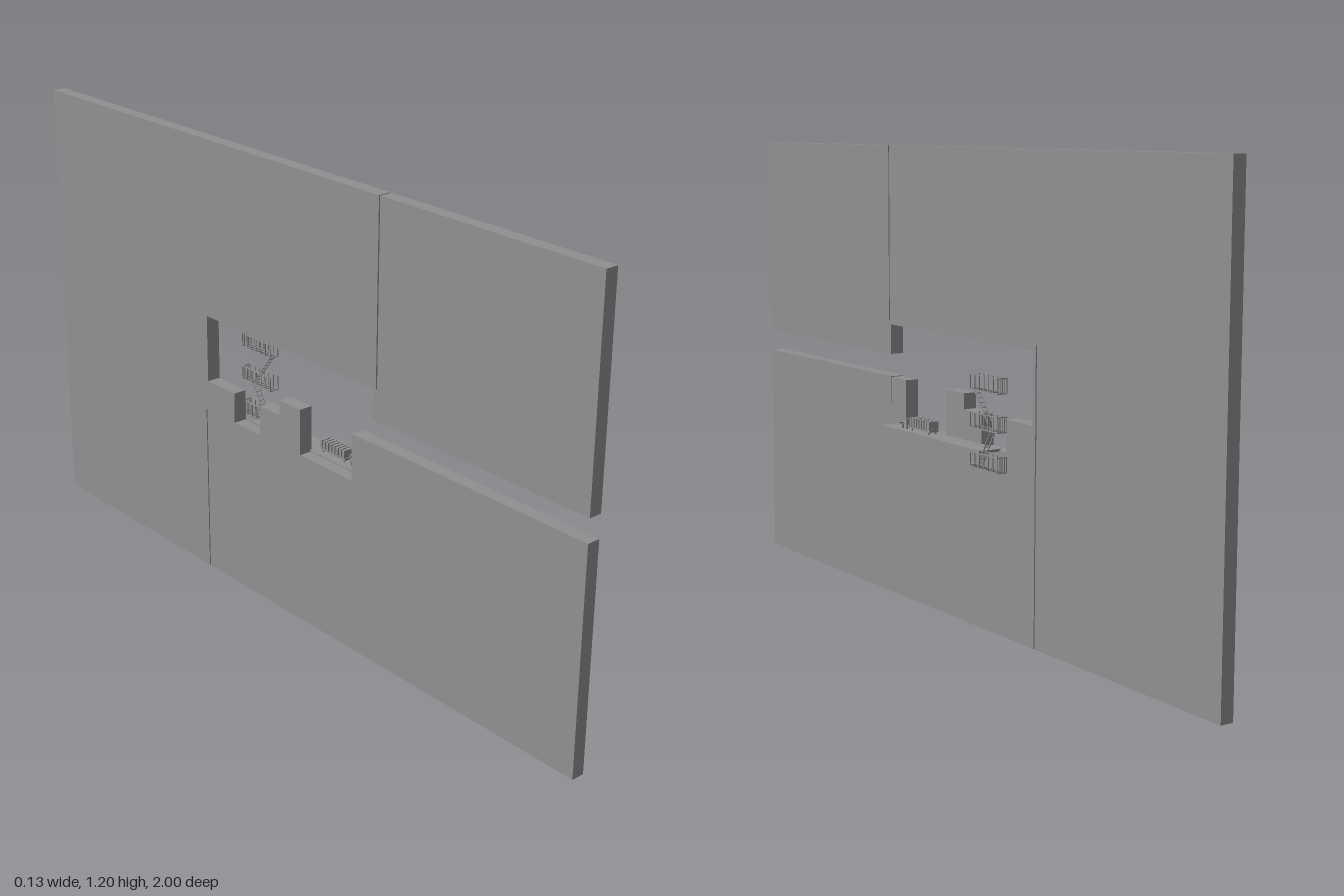
import * as THREE from 'three';

export function createModel() {
  const root = new THREE.Group();
  const grey = new THREE.MeshStandardMaterial({ color: 0x909090 });
  const X0 = -0.063, X1 = -0.028; // wall back and face

  // box from its limits along x, y and z
  function box(parent, name, x0, x1, y0, y1, z0, z1) {
    const mesh = new THREE.Mesh(new THREE.BoxGeometry(x1 - x0, y1 - y0, z1 - z0), grey);
    mesh.position.set((x0 + x1) / 2, (y0 + y1) / 2, (z0 + z1) / 2);
    mesh.name = name;
    parent.add(mesh);
    return mesh;
  }
  function group(name) {
    const g = new THREE.Group();
    g.name = name;
    root.add(g);
    return g;
  }
  // thin square bar between two points
  function bar(parent, name, a, b, t = 0.0024) {
    const from = new THREE.Vector3(...a), to = new THREE.Vector3(...b);
    const mesh = new THREE.Mesh(new THREE.BoxGeometry(t, t, from.distanceTo(to)), grey);
    mesh.position.copy(from).add(to).multiplyScalar(0.5);
    mesh.lookAt(to);
    mesh.name = name;
    parent.add(mesh);
  }

  // wall panels around the window and the open slot, with narrow seams
  const wall = group('wall');
  box(wall, 'rearPanel', X0, X1, 0, 1.2, -1, -0.331);
  box(wall, 'topPanel', X0, X1, 0.737, 1.2, -0.331, 0.331);
  box(wall, 'upperFrontPanel', X0, X1, 0.65, 1.2, 0.335, 1);
  box(wall, 'lowerPanel', X0, X1, 0, 0.465, -0.327, 1);
  box(wall, 'lowerFrontPanel', X0, X1, 0.465, 0.59, 0.327, 1);

  // window lining, slightly proud of the wall
  const lining = group('windowLining');
  const face = X1 + 0.003;
  box(lining, 'head', X0, face, 0.729, 0.74, -0.332, 0.332);
  box(lining, 'rearJamb', X0, face, 0.465, 0.73, -0.332, -0.321);
  box(lining, 'upperFrontJamb', X0, face, 0.65, 0.73, 0.321, 0.335);
  box(lining, 'lowerFrontJamb', X0, face, 0.465, 0.59, 0.321, 0.332);

  // skyline blocks standing in the window
  const blocks = group('blocks');
  for (const [z0, z1, top] of [[0.248, 0.322, 0.588], [-0.026, 0.055, 0.588],
    [-0.104, -0.026, 0.547], [-0.322, -0.21, 0.547]]) {
    box(blocks, 'block', X0, X1 + 0.002, 0.464, top, z0, z1);
  }

  // shelf
  box(root, 'shelf', X1 - 0.003, 0.03, 0.463, 0.47, -0.18, 0.278);

  // small crate of slats on the shelf
  const crate = group('crate');
  for (let i = 0; i < 8; i++) {
    const z = 0.078 + i * 0.012;
    box(crate, 'slat', -0.018, 0.012, 0.48, 0.503, z, z + 0.008);
  }
  box(crate, 'base', -0.016, 0.01, 0.476, 0.483, 0.076, 0.172);
  box(crate, 'core', -0.012, 0.006, 0.482, 0.498, 0.08, 0.168);
  for (const x of [-0.014, 0.006]) {
    for (const z of [0.082, 0.162]) box(crate, 'foot', x, x + 0.004, 0.47, 0.48, z, z + 0.005);
  }

  // little seat beside the crate
  const seat = group('seat');
  box(seat, 'cushion', -0.014, 0.012, 0.481, 0.488, 0.185, 0.212);
  box(seat, 'back', -0.014, 0.012, 0.486, 0.497, 0.185, 0.19);
  bar(seat, 'frontBar', [-0.02, 0.486, 0.2], [0.026, 0.486, 0.2], 0.004);
  for (const x of [-0.011, 0.009]) {
    for (const z of [0.189, 0.208]) bar(seat, 'leg', [x, 0.47, z], [x, 0.484, z], 0.004);
  }

  // fire escape: three railed landings joined by stairs
  const escape = group('fireEscape');
  const xa = 0.036, xb = 0.0618, za = -0.3, zb = -0.185, railHeight = 0.037;
  const levels = [0.437, 0.534, 0.627];
  for (const y of levels) {
    const top = y + railHeight;
    for (const x of [xa, xb]) {
      bar(escape, 'floorBeam', [x, y, za], [x, y, zb]);
      bar(escape, 'handrail', [x, top, za], [x, top, zb]);
      for (let i = 0; i < 7; i++) {
        const z = za + (zb - za) * i / 6;
        bar(escape, 'post', [x, y, z], [x, top, z]);
      }
    }
    for (let i = 0; i < 11; i++) {
      const z = za + (zb - za) * i / 10;
      bar(escape, 'floorSlat', [xa, y, z], [xb, y, z]);
    }
    for (const x of [0.0425, 0.049, 0.0555]) bar(escape, 'endPost', [x, y, za], [x, top, za]);
    bar(escape, 'endRail', [xa, top, za], [xb, top, za]);
  }
  for (let k = 0; k < 2; k++) {
    const low = [levels[k], k ? -0.262 : -0.205], high = [levels[k + 1], k ? -0.19 : -0.262];
    for (const x of [0.041, 0.055]) {
      bar(escape, 'stairRail', [x, low[0], low[1]], [x, high[0], high[1]]);
    }
    for (let i = 1; i < 9; i++) {
      const t = i / 9;
      const y = low[0] + (high[0] - low[0]) * t, z = low[1] + (high[1] - low[1]) * t;
      bar(escape, 'stairTread', [0.041, y, z], [0.055, y, z], 0.002);
    }
  }
  box(escape, 'lowerStep', 0.044, 0.056, 0.432, 0.441, -0.185, -0.158);

  return root;
}
